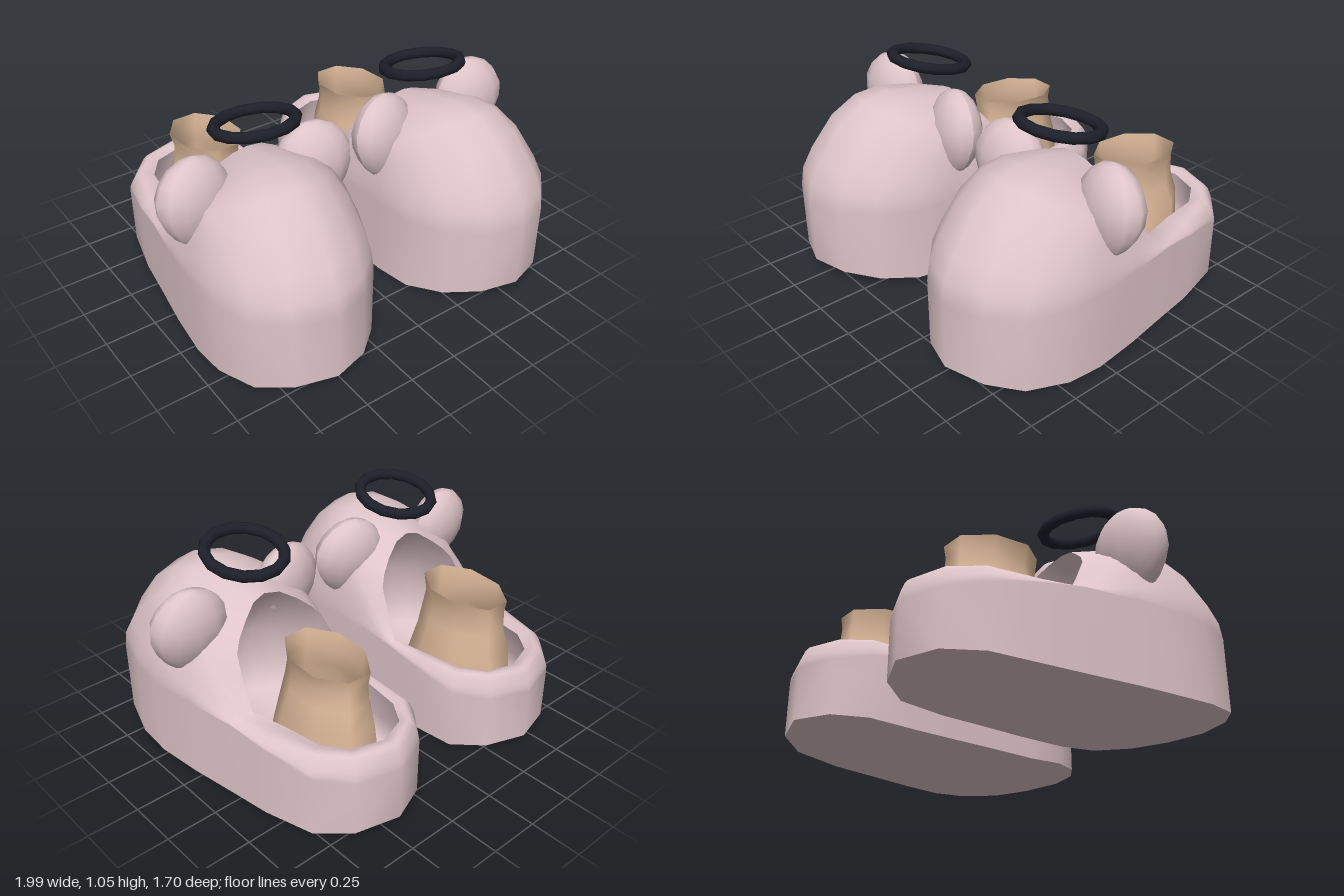
import * as THREE from 'three';

const mat = (name, color, side = THREE.FrontSide) =>
  Object.assign(new THREE.MeshStandardMaterial({ color, side }), { name });

// Skin closed rings of [x, y, z] points, each ring running clockwise seen from above
function loft(rings) {
  const n = rings[0].length, index = [];
  for (let k = 0; k < rings.length - 1; k++) {
    for (let i = 0; i < n; i++) {
      const a = k * n + i, b = k * n + (i + 1) % n;
      index.push(a, a + n, b, b, a + n, b + n);
    }
  }
  const g = new THREE.BufferGeometry();
  g.setAttribute('position', new THREE.Float32BufferAttribute(rings.flat(2), 3));
  g.setIndex(index);
  g.computeVertexNormals();
  return g;
}

// Footprint [x, z] from the heel round by the outer side, and the opening edge paired with it
const FOOT = [[.43, -.85], [.64, -.79], [.77, -.65], [.83, -.4], [.86, -.2], [.9, .05], [.925, .28],
  [.92, .46], [.86, .66], [.73, .78], [.54, .845], [.36, .79], [.22, .67], [.13, .5], [.115, .3],
  [.11, .05], [.115, -.2], [.115, -.4], [.13, -.63], [.24, -.77]];
const OPENING = [[.43, -.74], [.58, -.69], [.66, -.58], [.69, -.38], [.73, -.2], [.72, -.13], [.7, -.07],
  [.66, -.04], [.6, -.01], [.53, .02], [.46, .03], [.38, .02], [.3, -.01], [.24, -.04], [.2, -.07],
  [.18, -.13], [.17, -.2], [.19, -.38], [.22, -.58], [.29, -.69]];
// Inward fraction and height fraction from the shoulder to the opening
const PROFILE = [[0, 0], [.02, .24], [.09, .5], [.24, .9], [.4, 1.12], [.56, 1.18], [.79, 1.12], [1, 1]];

const { lerp, clamp, smoothstep } = THREE.MathUtils;
const soleY = z => z > 0 ? .07 * clamp((z - .25) / .6, 0, 1) ** 1.6 : .035 * clamp((-z - .55) / .3, 0, 1);
const openY = z => .4 + 1.78 * Math.max(0, z + .2);
const shoulderY = z => lerp(.3, .4, smoothstep(z, -.8, -.1));

function shoeGeometries() {
  const soleRing = s => FOOT.map(([x, z]) => {
    const pz = z * s;
    return [lerp(.48, x, s), soleY(pz), pz];
  });
  // Point between the opening (t = 0) and the footprint (t = 1)
  const between = (t, yOf) => OPENING.map(([x, z], i) =>
    [lerp(x, FOOT[i][0], t), yOf(openY(z)), lerp(z, FOOT[i][1], t)]);
  const domeRings = PROFILE.map(([f, g]) => FOOT.map(([x, z], i) => {
    const [ox, oz] = OPENING[i];
    return [lerp(x, ox, f), lerp(shoulderY(z), openY(oz), g), lerp(z, oz, f)];
  }));
  return {
    sole: loft([soleRing(0), soleRing(.4), soleRing(.7), soleRing(1)]),
    upper: loft([soleRing(1), ...domeRings]),
    lining: loft([between(0, y => y), between(.12, y => y * .88), between(.32, y => y * .6),
      between(.35, () => .1), OPENING.map(() => [.45, .1, -.2])]),
  };
}

// Open ankle: each row is y, x range, z range
function ankleGeometry() {
  const rows = [[.1, .25, .65, -.66, -.06], [.4, .28, .63, -.63, -.15], [.5, .31, .59, -.605, -.165],
    [.6, .32, .58, -.6, -.185], [.675, .3, .6, -.605, -.175]];
  return loft(rows.map(([y, x0, x1, z0, z1], k) => Array.from({ length: 8 }, (_, i) => {
    const a = (i + .5) / 8 * Math.PI * 2, s = 1 / Math.cos(Math.PI / 8);
    const z = (z0 + z1) / 2 - Math.cos(a) * s * (z1 - z0) / 2;
    return [(x0 + x1) / 2 + Math.sin(a) * s * (x1 - x0) / 2, y + (k === 4 ? (z + .4) * .07 : 0), z];
  })));
}

// Flattened round ear, narrowing below
function earGeometry() {
  const g = new THREE.SphereGeometry(1, 12, 9);
  const p = g.attributes.position;
  for (let i = 0; i < p.count; i++) {
    const y = p.getY(i), taper = 1 - .25 * Math.max(0, -y);
    p.setXYZ(i, p.getX(i) * .195 * taper, y * .21, p.getZ(i) * .115 * taper);
  }
  g.computeVertexNormals();
  return g;
}

export function createModel() {
  const pink = mat('softPink', 0xdec4c9, THREE.DoubleSide);
  const skin = mat('skinTan', 0xdcb899, THREE.DoubleSide);
  const black = mat('inkBlack', 0x1d1f2a);
  const shoe = shoeGeometries(), ankle = ankleGeometry(), ear = earGeometry();
  const ring = new THREE.TorusGeometry(.185, .028, 8, 14).rotateX(Math.PI / 2);

  const model = new THREE.Group();
  model.name = 'slippers';
  for (const side of [1, -1]) {
    const slipper = new THREE.Group();
    slipper.name = side > 0 ? 'leftSlipper' : 'rightSlipper';
    const add = (name, geometry, material) => {
      const mesh = new THREE.Mesh(geometry, material);
      mesh.name = name;
      slipper.add(mesh);
      return mesh;
    };
    for (const part in shoe) add(part, shoe[part], pink);
    add('ankle', ankle, skin);

    // Ears on both flanks of the toe dome
    const outer = add('outerEar', ear, pink);
    outer.position.set(.808, .71, .14);
    outer.rotation.set(-.12, -.12, .12);
    const inner = add('innerEar', ear, pink);
    inner.position.set(.205, .71, .19);
    inner.rotation.set(-.12, .2, -.12);

    // Floating ring above, tipped up at the front
    const halo = add('halo', ring, black);
    halo.position.set(.48, .99, .135);
    halo.rotation.x = -.21;

    slipper.scale.x = side;
    model.add(slipper);
  }
  return model;
}
